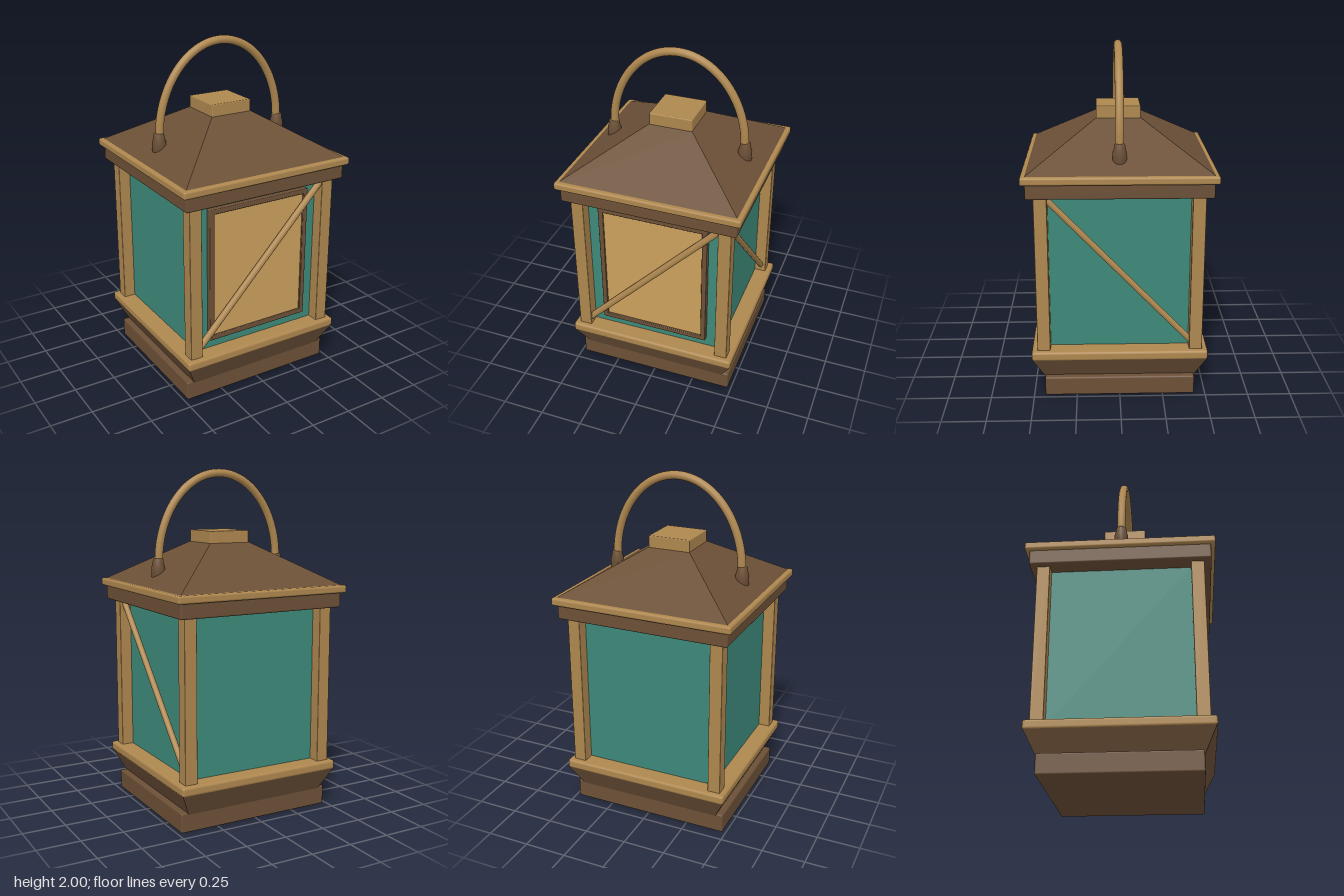
import * as THREE from 'three';
import { RoundedBoxGeometry } from 'three/addons/geometries/RoundedBoxGeometry.js';

function material(name, color) {
  const m = new THREE.MeshStandardMaterial({ color });
  m.name = name;
  return m;
}

export function createModel() {
  const brown = material('dark wood', 0x6c5037);
  const gold = material('light wood', 0xae874f);
  const amber = material('door panel amber', 0xcb9f5d);
  const teal = material('teal glass', 0x3d897a);
  const lantern = new THREE.Group();
  lantern.name = 'lantern';

  const add = (name, geometry, mat, x = 0, y = 0, z = 0) => {
    const mesh = new THREE.Mesh(geometry, mat);
    mesh.name = name;
    mesh.position.set(x, y, z);
    lantern.add(mesh);
    return mesh;
  };

  // Box between two heights with softly rounded edges
  const slab = (name, w, y0, y1, d, mat, x = 0, z = 0, r = 0.01) =>
    add(name, new RoundedBoxGeometry(w, y1 - y0, d, 2, r), mat, x, (y0 + y1) / 2, z);

  // Square frustum given by half widths, with flat faces
  const frustum = (name, bottom, top, y0, y1, mat) => {
    const k = Math.SQRT2;
    const g = new THREE.CylinderGeometry(top * k, bottom * k, y1 - y0, 4, 1)
      .rotateY(Math.PI / 4).toNonIndexed();
    g.computeVertexNormals();
    return add(name, g, mat, 0, (y0 + y1) / 2, 0);
  };

  // Round bar between two points
  const bar = (name, a, b, r, mat) => {
    const dir = b.clone().sub(a);
    const mesh = add(name, new THREE.CylinderGeometry(r, r, dir.length(), 12), mat);
    mesh.position.copy(a).add(b).multiplyScalar(0.5);
    mesh.quaternion.setFromUnitVectors(new THREE.Vector3(0, 1, 0), dir.normalize());
  };

  // Base
  slab('plinth', 0.96, 0, 0.115, 0.87, brown);
  frustum('flaredBase', 0.437, 0.503, 0.105, 0.24, brown);
  slab('baseTrim', 1.015, 0.235, 0.29, 1.015, gold, 0, 0, 0.015);

  // Glass body and corner posts
  add('glassBody', new THREE.BoxGeometry(0.81, 0.94, 0.81), teal, 0, 0.75, 0);
  for (const x of [-1, 1]) {
    for (const z of [-1, 1]) {
      slab('cornerPost', 0.075, 0.28, 1.22, 0.075, gold, x * 0.4375, z * 0.4375, 0.004);
    }
  }

  // Framed door on the front
  add('doorPanel', new THREE.BoxGeometry(0.62, 0.77, 0.03), amber, 0, 0.755, 0.412);
  for (const s of [-1, 1]) {
    slab('doorStile', 0.03, 0.35, 1.16, 0.04, brown, s * 0.313, 0.418, 0.005);
    const y = 0.755 + s * 0.39;
    slab('doorRail', 0.656, y - 0.015, y + 0.015, 0.04, brown, 0, 0.418, 0.005);
  }

  // Diagonal braces on the front and the left side
  bar('frontBrace', new THREE.Vector3(-0.41, 0.33, 0.448), new THREE.Vector3(0.41, 1.195, 0.448), 0.02, gold);
  bar('sideBrace', new THREE.Vector3(0.44, 1.195, 0.41), new THREE.Vector3(0.44, 0.33, -0.41), 0.018, gold);

  // Roof
  slab('roofBand', 1.03, 1.21, 1.3, 1.03, brown);
  slab('roofTrim', 1.08, 1.295, 1.34, 1.08, gold, 0, 0, 0.012);
  frustum('roof', 0.522, 0.13, 1.335, 1.575, brown);
  slab('roofCap', 0.255, 1.565, 1.645, 0.255, gold, 0, 0, 0.006);

  // Arched handle
  const arch = [];
  for (let i = 0; i <= 16; i++) {
    const a = Math.PI * i / 16;
    arch.push(new THREE.Vector3(-0.397 * Math.cos(a), 1.465 + 0.511 * Math.sin(a), 0));
  }
  add('handle', new THREE.TubeGeometry(new THREE.CatmullRomCurve3(arch), 64, 0.024, 14), gold);

  // Handle sockets
  const profile = [[0, 0], [0.04, 0], [0.04, 0.095], [0.032, 0.12], [0.03, 0.142], [0.024, 0.148], [0, 0.148]]
    .map(([r, y]) => new THREE.Vector2(r, y));
  for (const s of [-1, 1]) {
    add('handleSocket', new THREE.LatheGeometry(profile, 20), brown, s * 0.4, 1.345, 0);
  }
  return lantern;
}
